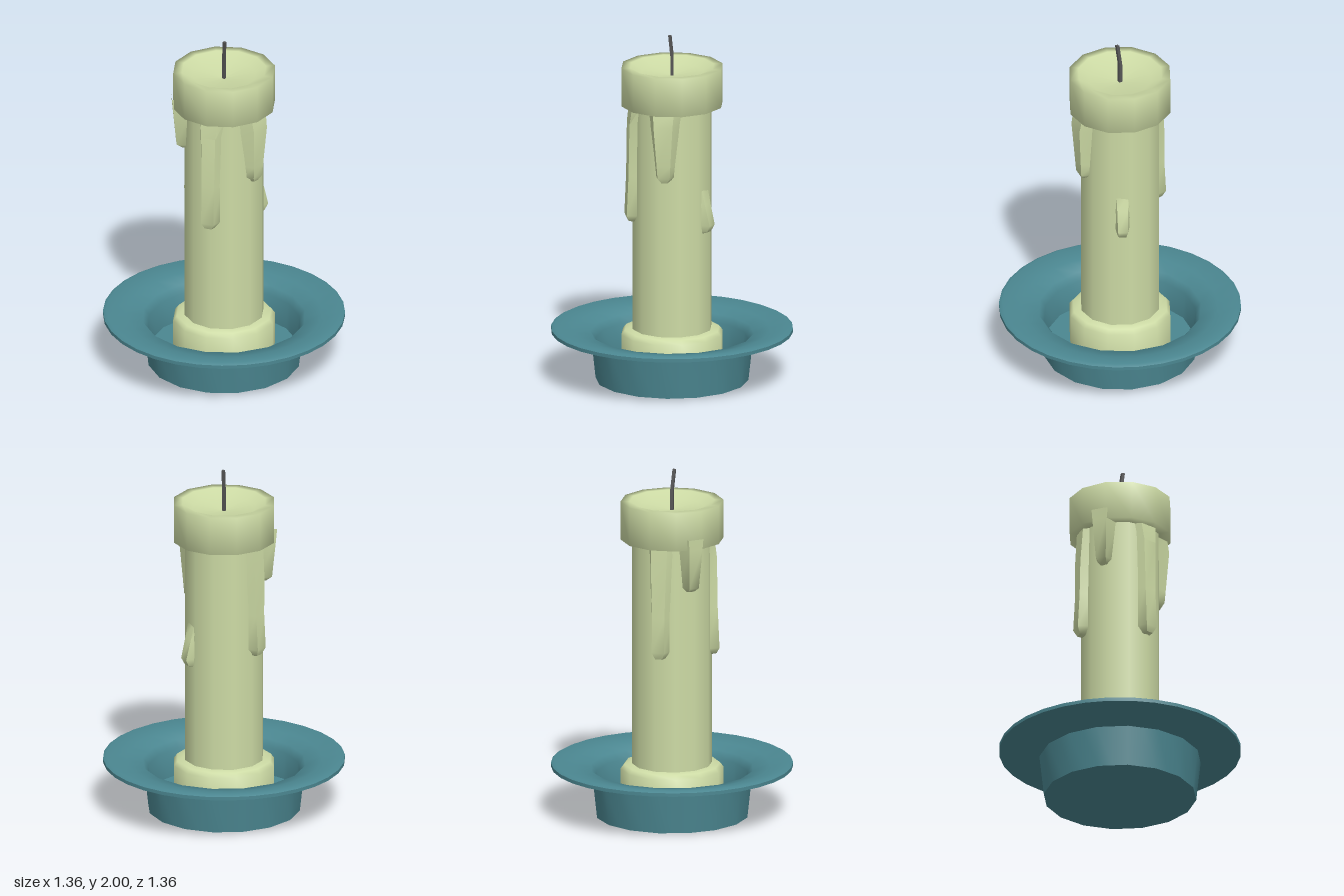
import * as THREE from 'three';
import { toCreasedNormals } from 'three/addons/utils/BufferGeometryUtils.js';

const wax = new THREE.MeshStandardMaterial({ color: 0xcddba5 });
const enamel = new THREE.MeshStandardMaterial({ color: 0x4b8791 });
const charred = new THREE.MeshStandardMaterial({ color: 0x555555 });

const lathe = (profile, sides) =>
  new THREE.LatheGeometry(profile.map(([r, y]) => new THREE.Vector2(r, y)), sides);

function add(group, name, geometry, material) {
  const mesh = new THREE.Mesh(geometry, material);
  mesh.name = name;
  group.add(mesh);
  return mesh;
}

// Round flange of 32 sides around a cup of 16 sides
function dishGeometry() {
  const g = lathe([
    [0, 0], [0.43, 0], [0.455, 0.23], [0.68, 0.28], [0.68, 0.3], [0.66, 0.31],
    [0.55, 0.29], [0.46, 0.27], [0.43, 0.23], [0.415, 0.08], [0, 0.08],
  ], 32);
  const p = g.attributes.position;
  const rows = 11;
  for (let i = 0; i < p.count; i++) {
    const odd = Math.floor(i / rows) % 2 === 1;
    if (odd && Math.hypot(p.getX(i), p.getZ(i)) < 0.5) {
      const k = Math.cos(Math.PI / 16);
      p.setX(i, p.getX(i) * k);
      p.setZ(i, p.getZ(i) * k);
    }
  }
  return toCreasedNormals(g, 0.8);
}

// Wax run lofted from rows of [height, half width, outer radius], top to bottom
function dripGeometry(rows) {
  const pos = [];
  const index = [];
  rows.forEach(([y, w, r]) => {
    pos.push(-w, y, 0.19, -w * 0.6, y, r, w * 0.6, y, r, w, y, 0.19);
  });
  for (let i = 0; i < rows.length - 1; i++) {
    for (let j = 0; j < 3; j++) {
      const a = i * 4 + j;
      index.push(a, a + 4, a + 1, a + 1, a + 4, a + 5);
    }
  }
  const g = new THREE.BufferGeometry();
  g.setAttribute('position', new THREE.Float32BufferAttribute(pos, 3));
  g.setIndex(index);
  return toCreasedNormals(g, 0.9);
}

export function createModel() {
  const model = new THREE.Group();
  model.name = 'candleInDish';

  add(model, 'dish', dishGeometry(), enamel);

  // Candle body with a pooled foot
  add(model, 'candleShaft', lathe([[0.225, 0.25], [0.225, 1.65]], 12), wax);
  add(model, 'waxFoot', toCreasedNormals(
    lathe([[0.29, 0.08], [0.29, 0.27], [0.27, 0.295], [0.215, 0.3]], 12), 0.9), wax);

  // Overhanging cap with a melted bowl
  add(model, 'waxCap', lathe([
    [0.21, 1.6], [0.29, 1.6], [0.29, 1.82], [0.24, 1.82], [0.18, 1.785], [0, 1.765],
  ], 12), wax);

  // Drips at their angle round the candle, in degrees from the front
  const drips = [
    [-31, [[1.62, 0.09, 0.235], [1.5, 0.07, 0.25], [1.2, 0.062, 0.255],
      [0.97, 0.062, 0.265], [0.935, 0.035, 0.25], [0.925, 0.02, 0.2]]],
    [38, [[1.62, 0.1, 0.26], [1.53, 0.09, 0.275], [1.3, 0.065, 0.26],
      [1.23, 0.058, 0.255], [1.2, 0.025, 0.24], [1.195, 0.02, 0.2]]],
    [-97, [[1.66, 0.075, 0.295], [1.6, 0.07, 0.29], [1.37, 0.05, 0.268],
      [1.345, 0.03, 0.235], [1.34, 0.02, 0.2]]],
    [107, [[1.15, 0.055, 0.212], [1.05, 0.05, 0.235], [0.93, 0.045, 0.265],
      [0.89, 0.035, 0.245], [0.875, 0.025, 0.2]]],
    [-142, [[1.62, 0.08, 0.24], [1.4, 0.07, 0.255], [1.2, 0.06, 0.257],
      [1.0, 0.06, 0.268], [0.96, 0.035, 0.25], [0.95, 0.02, 0.2]]],
  ];
  for (const [angle, rows] of drips) {
    const drip = add(model, 'waxDrip', dripGeometry(rows), wax);
    drip.rotation.y = THREE.MathUtils.degToRad(angle);
  }

  // Four-sided wick leaning forward at the tip
  const wick = new THREE.CylinderGeometry(1, 1, 0.24, 4, 2);
  const p = wick.attributes.position;
  for (let i = 0; i < p.count; i++) {
    const lean = p.getY(i) > 0.1 ? 0.016 : 0;
    p.setXYZ(i, p.getX(i) * 0.011, p.getY(i) + 1.88, p.getZ(i) * 0.013 + lean);
  }
  add(model, 'wick', toCreasedNormals(wick, 0.5), charred);

  return model;
}
